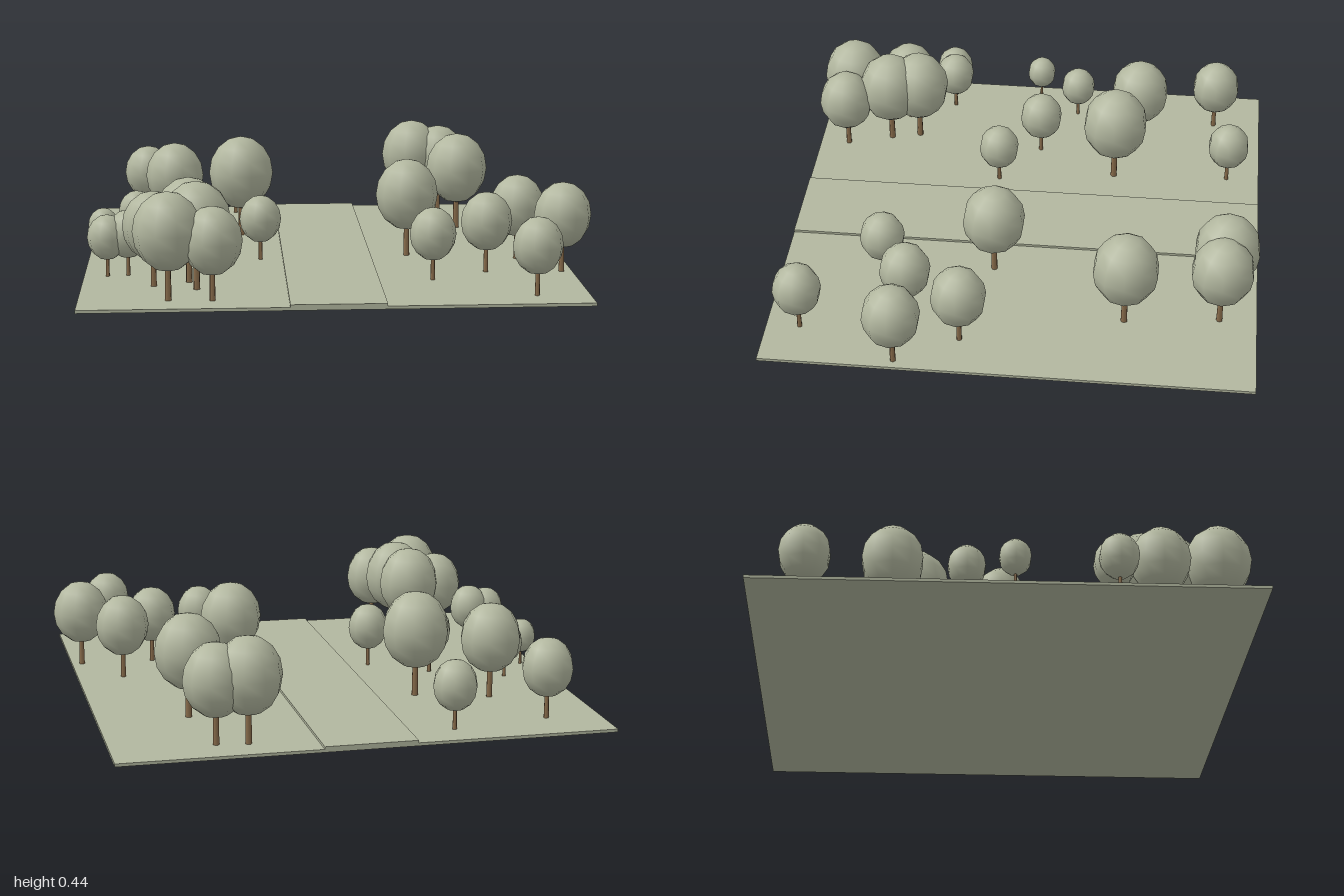
import * as THREE from 'three';

const sage = new THREE.MeshStandardMaterial({ name: 'sageGreen', color: 0xb2b79f });
const bark = new THREE.MeshStandardMaterial({ name: 'barkBrown', color: 0x8a6d4c });

const GROUND_TOP = 0.012;

// x, z and crown radius of each tree
const TREES = [
  [-0.78, -0.76, 0.102], [-0.39, -0.825, 0.087], [-0.655, -0.43, 0.123], [-0.37, -0.34, 0.136],
  [-0.81, -0.15, 0.074], [-0.525, -0.01, 0.09], [-0.94, 0.025, 0.062], [-0.3, 0.15, 0.084],
  [-0.905, 0.415, 0.078], [-0.825, 0.405, 0.083], [-0.72, 0.595, 0.118], [-0.585, 0.535, 0.131],
  [-0.555, 0.655, 0.133], [-0.66, 0.825, 0.131], [-0.495, 0.84, 0.114],
  [0.41, -0.83, 0.132], [0.53, -0.815, 0.125], [0.57, -0.44, 0.132], [0.3, 0.105, 0.127],
  [0.74, 0.195, 0.11], [0.585, 0.425, 0.102], [0.885, 0.435, 0.114], [0.36, 0.55, 0.091],
  [0.725, 0.83, 0.096],
];

function addSlab(group, name, width, height, depth, x, y) {
  const mesh = new THREE.Mesh(new THREE.BoxGeometry(width, height, depth), sage);
  mesh.name = name;
  mesh.position.set(x, y + height / 2, 0);
  group.add(mesh);
}

// Unit tree parts, scaled by the crown radius
const crownGeometry = new THREE.SphereGeometry(1, 10, 8);
const trunkGeometry = new THREE.CylinderGeometry(0.08, 0.1, 1.4, 7).translate(0, 0.7, 0);

function makeTree([x, z, r]) {
  const tree = new THREE.Group();
  tree.name = 'tree';
  const trunk = new THREE.Mesh(trunkGeometry, bark);
  trunk.name = 'trunk';
  const crown = new THREE.Mesh(crownGeometry, sage);
  crown.name = 'crown';
  crown.position.y = 2;
  crown.scale.y = 1.15;
  tree.add(trunk, crown);
  tree.scale.setScalar(r);
  tree.position.set(x, GROUND_TOP, z);
  return tree;
}

export function createModel() {
  const model = new THREE.Group();
  model.name = 'parkland';

  // Square plot with a slightly raised path across it
  addSlab(model, 'ground', 1.925, GROUND_TOP, 1.926, -0.035, 0);
  addSlab(model, 'path', 0.36, 0.01, 1.926, -0.03, GROUND_TOP);

  for (const spec of TREES) model.add(makeTree(spec));
  return model;
}
